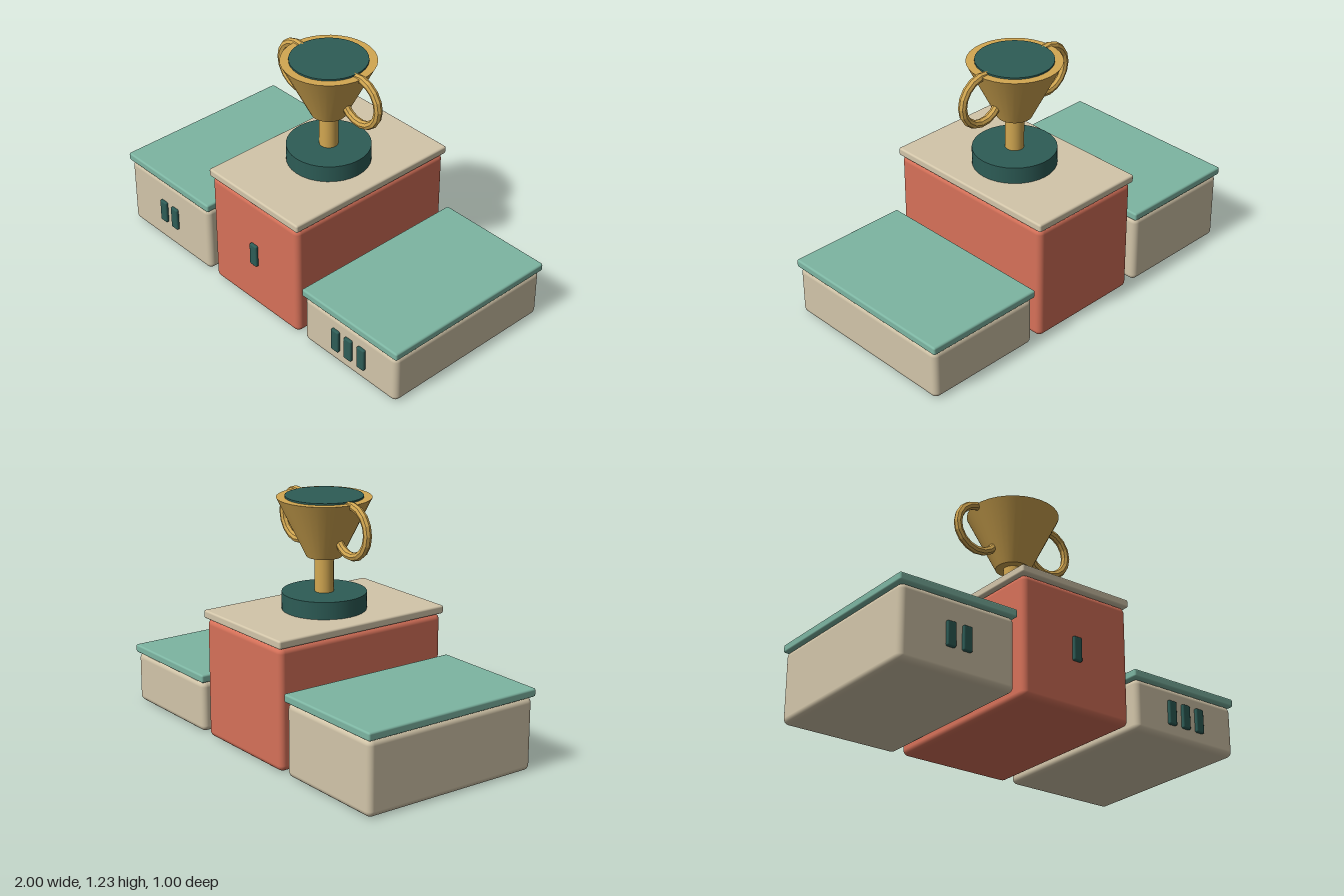
import * as THREE from 'three';
import { RoundedBoxGeometry } from 'three/addons/geometries/RoundedBoxGeometry.js';

export function createModel() {
  const model = new THREE.Group();
  model.name = 'winnersPodium';

  const material = (name, color) => {
    const m = new THREE.MeshStandardMaterial({ color });
    m.name = name;
    return m;
  };
  const red = material('coral red', 0xd67159);
  const cream = material('cream', 0xd2c5a9);
  const mint = material('mint green', 0x7db5a2);
  const dark = material('dark teal', 0x2d5c56);
  const gold = material('gold', 0xd2a751);

  const add = (parent, name, geometry, mat, x, y, z) => {
    const mesh = new THREE.Mesh(geometry, mat);
    mesh.name = name;
    mesh.position.set(x, y, z);
    parent.add(mesh);
    return mesh;
  };
  const Z = -0.002;

  // Three steps: rounded block, overhanging top slab and raised tally marks
  const steps = [
    { name: 'firstStep', x: 0, h: 0.618, body: red, slab: cream, marks: 1, markY: 0.311 },
    { name: 'secondStep', x: -0.676, h: 0.372, body: cream, slab: mint, marks: 2, markY: 0.188 },
    { name: 'thirdStep', x: 0.676, h: 0.266, body: cream, slab: mint, marks: 3, markY: 0.135 },
  ];
  for (const s of steps) {
    const step = new THREE.Group();
    step.name = s.name;
    step.position.set(s.x, 0, Z);
    model.add(step);
    add(step, 'block', new RoundedBoxGeometry(0.63, s.h, 0.98, 3, 0.03), s.body, 0, s.h / 2, 0);
    add(step, 'topSlab', new RoundedBoxGeometry(0.647, 0.042, 0.998, 2, 0.01), s.slab, 0, s.h + 0.021, 0);
    for (let i = 0; i < s.marks; i++) {
      const x = (i - (s.marks - 1) / 2) * 0.088;
      add(step, 'tallyMark', new RoundedBoxGeometry(0.05, 0.124, 0.024, 2, 0.008), dark, x, s.markY, 0.493);
    }
  }

  // Trophy standing on the tallest step
  const trophy = new THREE.Group();
  trophy.name = 'trophy';
  trophy.position.z = Z;
  model.add(trophy);
  const round = (name, rTop, rBottom, y0, y1, mat) =>
    add(trophy, name, new THREE.CylinderGeometry(rTop, rBottom, y1 - y0, 32), mat, 0, (y0 + y1) / 2, 0);
  round('base', 0.211, 0.211, 0.66, 0.747, dark);
  round('stem', 0.047, 0.047, 0.747, 0.93, gold);
  round('cup', 0.235, 0.088, 0.925, 1.221, gold);
  round('cupOpening', 0.193, 0.193, 1.2205, 1.2295, dark);

  // Faceted handles: open rings whose ends sink into the cup
  const deg = Math.PI / 180;
  const handleGeometry = new THREE.TorusGeometry(0.124, 0.0215, 8, 12, 252 * deg)
    .rotateZ(75 * deg)
    .toNonIndexed();
  handleGeometry.computeVertexNormals();
  for (const side of [-1, 1]) {
    const handle = add(trophy, side < 0 ? 'rightHandle' : 'leftHandle', handleGeometry, gold, side * 0.218, 1.09, 0);
    if (side > 0) handle.rotation.y = Math.PI;
  }

  return model;
}
